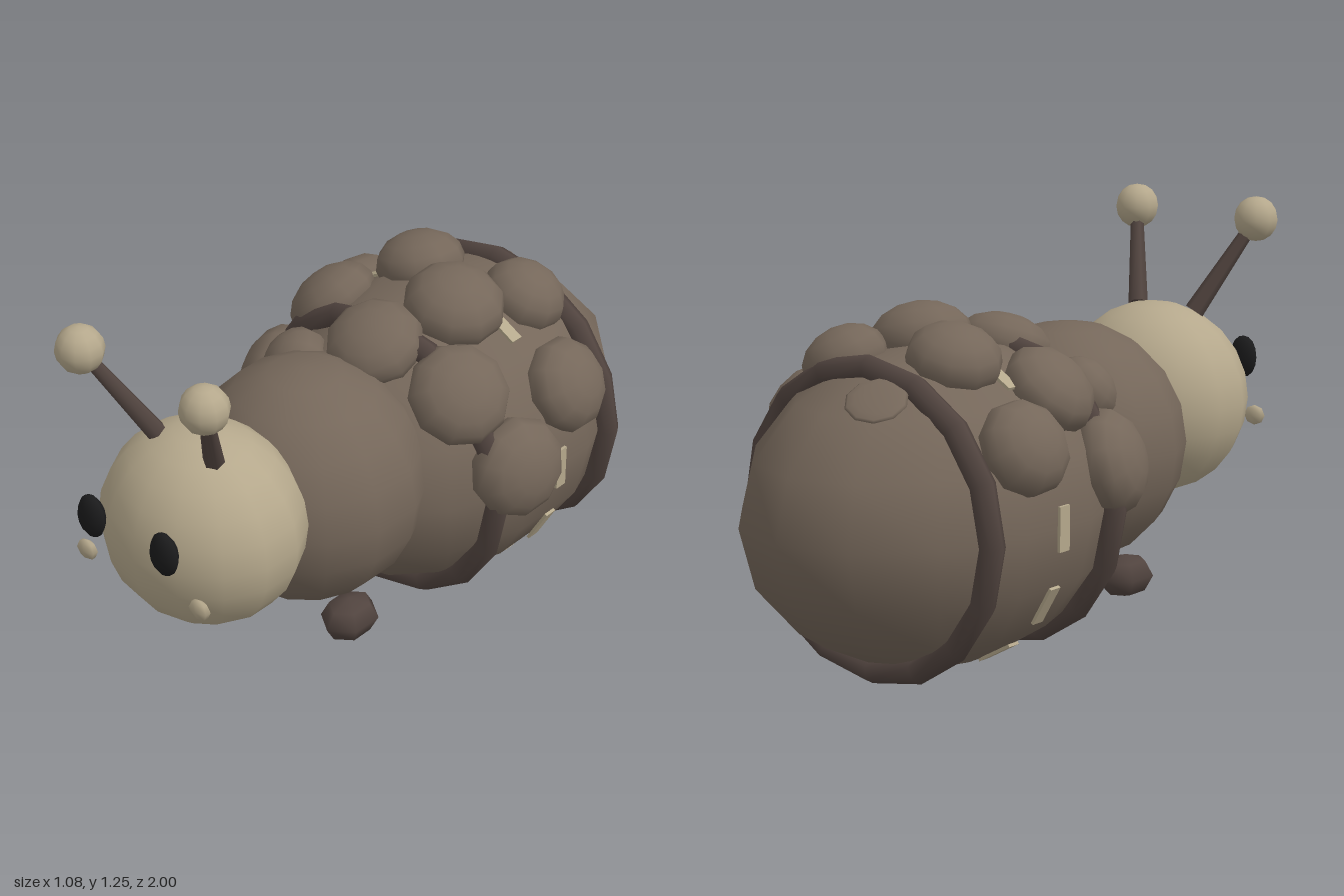
import * as THREE from 'three';

export function createModel() {
  const model = new THREE.Group();
  const mat = (name, color) => {
    const m = new THREE.MeshStandardMaterial({ color });
    m.name = name;
    return m;
  };
  const cream = mat('cream', 0xb5a88c);
  const brown = mat('brown', 0x75675a);
  const dark = mat('dark brown', 0x51443f);
  const black = mat('black', 0x1b1b1c);

  // everything is built around a body axis that sits slightly off centre
  const creature = new THREE.Group();
  creature.name = 'creature';
  creature.position.x = -0.025;
  model.add(creature);

  const add = (name, geometry, material, x, y, z) => {
    const mesh = new THREE.Mesh(geometry, material);
    mesh.name = name;
    mesh.position.set(x, y, z);
    creature.add(mesh);
    return mesh;
  };
  const ball = (name, material, pos, radii, w = 14, h = 10) =>
    add(name, new THREE.SphereGeometry(1, w, h).rotateY(Math.PI / 2).scale(...radii), material, ...pos);

  // body segments
  ball('head', cream, [0, 0.62, 0.68], [0.31, 0.302, 0.275], 14, 12);
  ball('chest', brown, [0, 0.55, 0.25], [0.36, 0.37, 0.36], 14, 10);
  const C = new THREE.Vector3(0, 0.48, -0.36);
  const R = new THREE.Vector3(0.48, 0.468, 0.64);
  ball('abdomen', brown, C.toArray(), R.toArray(), 14, 8);

  // hoops around the abdomen
  for (const [name, z] of [['frontHoop', -0.09], ['rearHoop', -0.625]]) {
    const hoop = add(name, new THREE.TorusGeometry(0.437, 0.038, 6, 16), dark, 0, 0.475, z);
    hoop.scale.x = 1.02;
  }

  // dashed seam between the hoops
  for (let i = 0; i < 12; i++) {
    const a = (i * Math.PI) / 6;
    const dash = add('seamDash', new THREE.BoxGeometry(0.009, 0.13, 0.042), cream,
      Math.cos(a) * 0.474, C.y + Math.sin(a) * 0.465, -0.355);
    dash.rotation.z = a;
  }

  // flattened lumps lying on the abdomen: x, z, radius, thickness
  const lumps = [
    [-0.41, -0.45, 0.14, 0.1], [-0.14, -0.43, 0.14, 0.1], [0.19, -0.52, 0.13, 0.1],
    [0.415, -0.44, 0.145, 0.1], [-0.305, -0.215, 0.145, 0.1], [0.11, -0.285, 0.155, 0.11],
    [0.45, -0.17, 0.155, 0.1], [0.295, -0.085, 0.155, 0.1], [0.02, -0.03, 0.15, 0.1],
    [-0.4, -0.05, 0.155, 0.1], [-0.21, 0.06, 0.11, 0.09], [-0.115, -0.72, 0.09, 0.015],
  ];
  for (const [x, z, r, t] of lumps) {
    const u = x / R.x, w = (z - C.z) / R.z;
    const v = Math.sqrt(Math.max(0, 1 - u * u - w * w));
    const normal = new THREE.Vector3(u / R.x, v / R.y, w / R.z).normalize();
    const lump = ball('lump', brown, [x, C.y + v * R.y, z], [r, t, r], 10, 8);
    lump.quaternion.setFromUnitVectors(new THREE.Vector3(0, 1, 0), normal);
  }

  // paired parts
  for (const s of [-1, 1]) {
    const side = s > 0 ? 'left' : 'right';
    ball(side + 'Eye', black, [s * 0.139, 0.72, 0.971], [0.05, 0.067, 0.029], 8, 8);
    ball(side + 'Cheek', cream, [s * 0.218, 0.547, 0.925], [0.038, 0.032, 0.018], 6, 4);
    ball(side + 'Foot', dark, [s * 0.197, 0.155, 0.285], [0.08, 0.066, 0.1], 6, 4);
    ball(side + 'AntennaTip', cream, [s * 0.232, 1.18, 0.89], [0.07, 0.07, 0.07], 10, 8);

    // tapered stalk from head to tip
    const a = new THREE.Vector3(s * 0.11, 0.895, 0.74);
    const b = new THREE.Vector3(s * 0.222, 1.155, 0.877);
    const mid = a.clone().add(b).multiplyScalar(0.5);
    const stalk = add(side + 'AntennaStalk',
      new THREE.CylinderGeometry(0.02, 0.031, a.distanceTo(b), 6), dark, mid.x, mid.y, mid.z);
    stalk.quaternion.setFromUnitVectors(new THREE.Vector3(0, 1, 0), b.sub(a).normalize());
  }
  return model;
}
